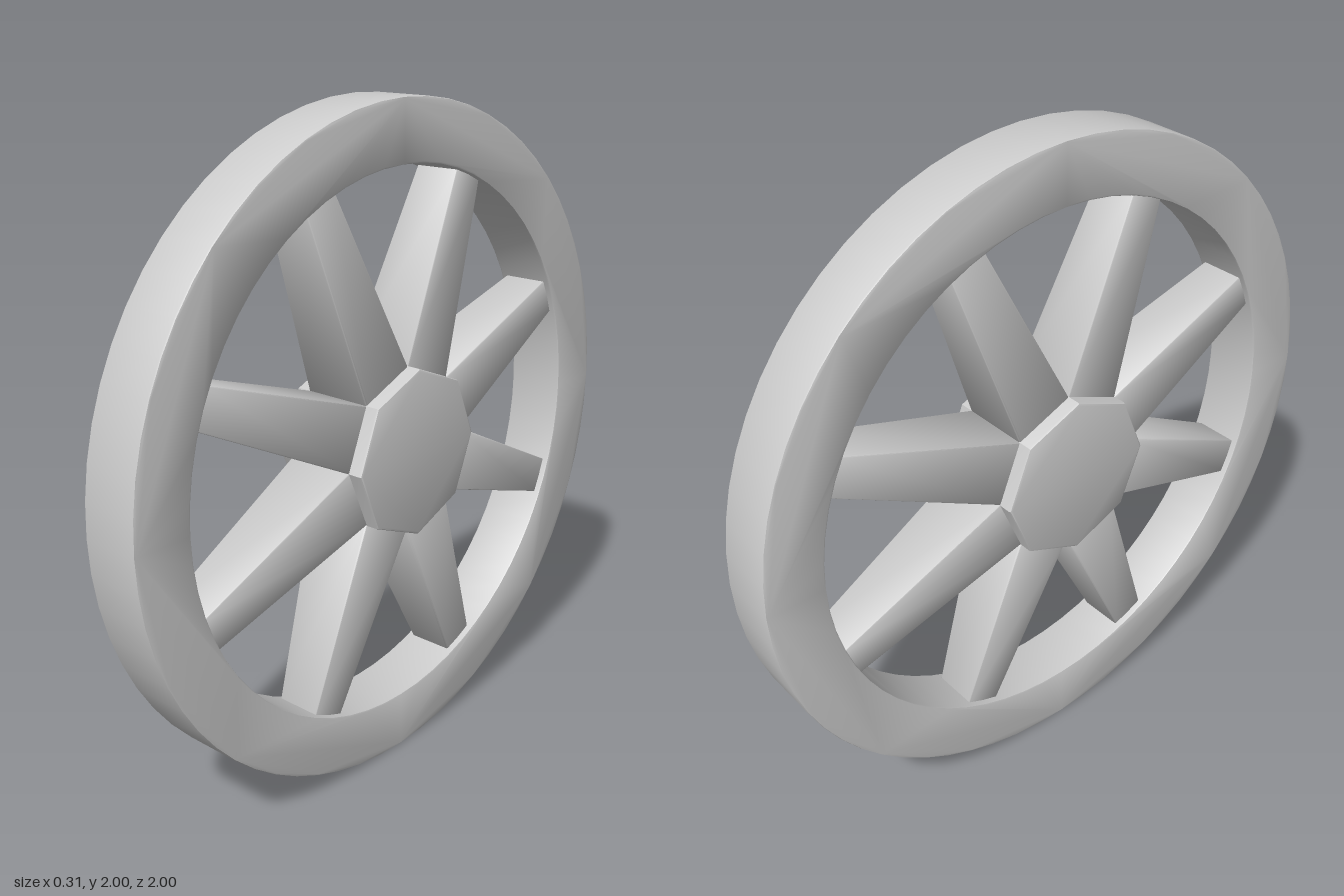
import * as THREE from 'three';
import { toCreasedNormals } from 'three/addons/utils/BufferGeometryUtils.js';
import { RoundedBoxGeometry } from 'three/addons/geometries/RoundedBoxGeometry.js';

const RIM_OUTER = 1, RIM_INNER = 0.82, RIM_WIDTH = 0.186;
const HUB_RADIUS = 0.255, HUB_WIDTH = 0.31, SPOKES = 8;
const CREASE = 0.7;

// Counter-clockwise regular polygon with one corner pointing up
function ring(radius, sides) {
  return Array.from({ length: sides }, (_, i) => {
    const a = (i / sides) * Math.PI * 2;
    return new THREE.Vector2(-Math.sin(a) * radius, Math.cos(a) * radius);
  });
}

// Extrudes a shape along the x axle, with slightly softened edges
function disc(shape, width, bevel) {
  const g = new THREE.ExtrudeGeometry(shape, {
    depth: width - 2 * bevel,
    bevelThickness: bevel,
    bevelSize: bevel,
    bevelOffset: -bevel,
    bevelSegments: 2,
  });
  g.translate(0, 0, bevel - width / 2).rotateY(Math.PI / 2);
  return toCreasedNormals(g, CREASE);
}

// Upright bar narrowing from hub to rim, both ends buried a little
function spokeGeometry() {
  const start = 0.22, end = RIM_INNER + 0.012;
  const g = new RoundedBoxGeometry(0.22, end - start, 0.198, 2, 0.006);
  g.translate(0, (start + end) / 2, 0);
  const p = g.attributes.position;
  for (let i = 0; i < p.count; i++) {
    const t = (p.getY(i) - start) / (end - start);
    p.setX(i, p.getX(i) * THREE.MathUtils.lerp(1, 0.65, t));
    p.setZ(i, p.getZ(i) * THREE.MathUtils.lerp(1, 0.575, t));
  }
  return toCreasedNormals(g, CREASE);
}

export function createModel() {
  const wheel = new THREE.Group();
  wheel.name = 'wheel';
  wheel.position.y = 1;
  const material = new THREE.MeshStandardMaterial({ color: 0xcccccc });

  const add = (name, geometry) => {
    const mesh = new THREE.Mesh(geometry, material);
    mesh.name = name;
    wheel.add(mesh);
    return mesh;
  };

  // Round band
  const band = new THREE.Shape(ring(RIM_OUTER, 64));
  band.holes.push(new THREE.Path(ring(RIM_INNER, 64)));
  add('rim', disc(band, RIM_WIDTH, 0.006));

  // Octagonal hub, proud of the rim on both sides
  add('hub', disc(new THREE.Shape(ring(HUB_RADIUS, SPOKES)), HUB_WIDTH, 0.008));

  // One spoke on each hub face
  const spoke = spokeGeometry();
  for (let i = 0; i < SPOKES; i++) {
    add('spoke' + (i + 1), spoke).rotation.x = ((i + 0.5) / SPOKES) * Math.PI * 2;
  }

  const model = new THREE.Group();
  model.name = 'spokedWheel';
  model.add(wheel);
  return model;
}
